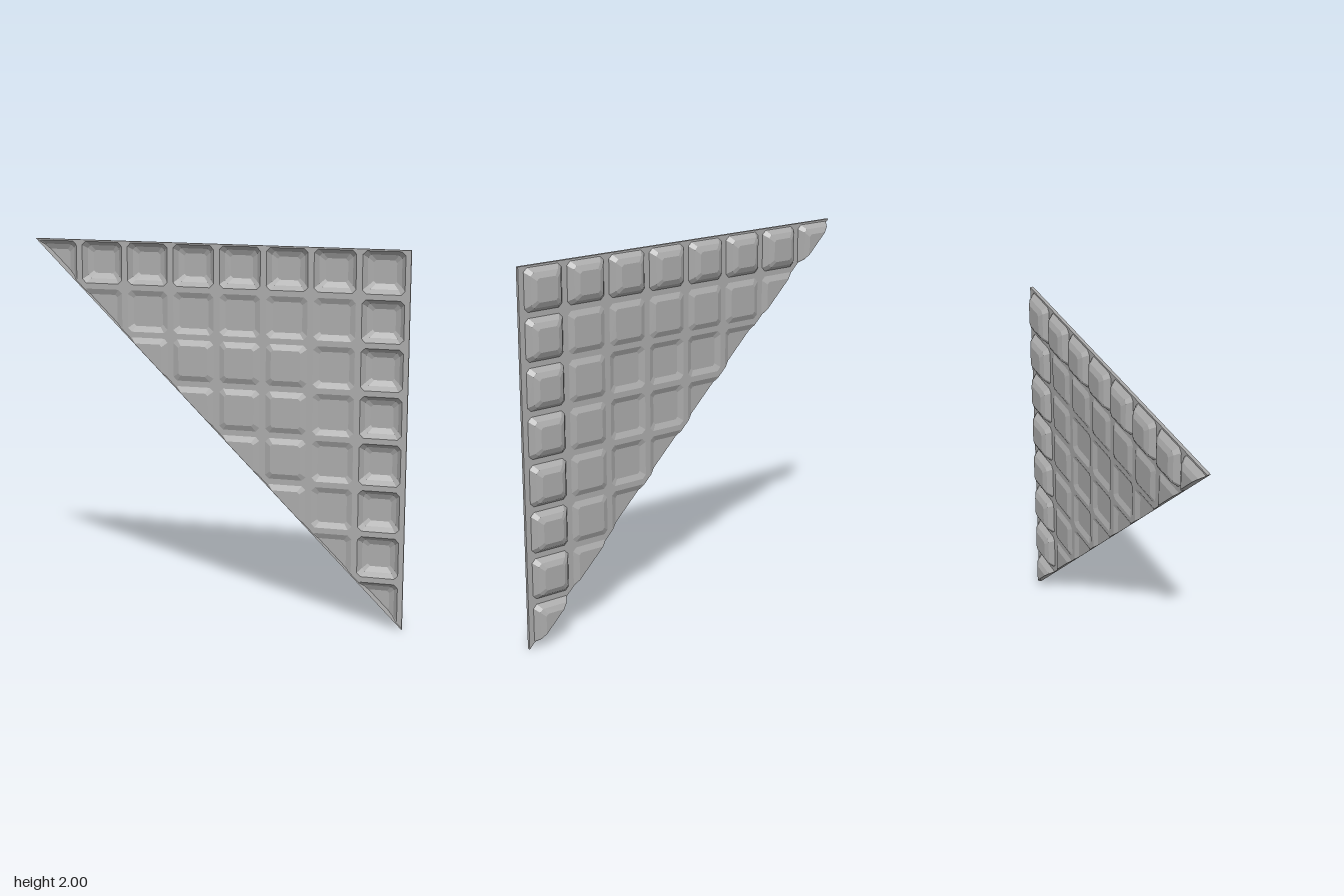
import * as THREE from 'three';

const PITCH = 0.25, COUNT = 8, SHEET = 0.013, RIM = 0.03;

// Octagon: a square cell with clipped corners, counter-clockwise
function octagon(x0, y0, x1, y1, cut, z) {
  return [
    [x0 + cut, y0, z], [x1 - cut, y0, z], [x1, y0 + cut, z], [x1, y1 - cut, z],
    [x1 - cut, y1, z], [x0 + cut, y1, z], [x0, y1 - cut, z], [x0, y0 + cut, z],
  ];
}

// Collects faces, trimming everything beyond the diagonal edge x + y = 1
class TrimmedSheet {
  constructor() { this.faces = []; this.rim = []; }

  add(face) {
    const side = (p) => p[0] + p[1] - 1;
    const kept = [], cuts = [];
    face.forEach((a, k) => {
      const b = face[(k + 1) % face.length], da = side(a), db = side(b);
      if (da >= 0) kept.push(a);
      if ((da > 1e-7 && db < -1e-7) || (da < -1e-7 && db > 1e-7)) {
        const p = a.map((v, n) => v + (b[n] - v) * da / (da - db));
        kept.push(p);
        cuts.push(p);
      } else if (Math.abs(da) <= 1e-7) cuts.push(a);
    });
    if (kept.length < 3) return;
    this.faces.push(kept);
    // Rim wall rising from the trimmed edge
    if (cuts.length === 2) {
      const [a, b] = cuts;
      this.rim.push([a, b, [b[0], b[1], RIM], [a[0], a[1], RIM]]);
    }
  }

  // Band of faces between two loops of equal length
  band(outer, inner) {
    outer.forEach((p, k) => {
      const n = (k + 1) % outer.length;
      this.add([p, outer[n], inner[n]]);
      this.add([p, inner[n], inner[k]]);
    });
  }
}

function toMesh(faces, material, name) {
  const positions = [];
  for (const f of faces)
    for (let k = 1; k < f.length - 1; k++) positions.push(...f[0], ...f[k], ...f[k + 1]);
  const geometry = new THREE.BufferGeometry();
  geometry.setAttribute('position', new THREE.Float32BufferAttribute(positions, 3));
  geometry.computeVertexNormals();
  const mesh = new THREE.Mesh(geometry, material);
  mesh.name = name;
  return mesh;
}

export function createModel() {
  const group = new THREE.Group();
  group.name = 'triangularPanel';
  const metal = new THREE.MeshStandardMaterial({ color: 0xaaaaaa, side: THREE.DoubleSide });
  metal.name = 'grey metal';

  const sheet = new TrimmedSheet();
  for (let col = 0; col < COUNT; col++) {
    for (let row = 0; row + col < COUNT; row++) {
      const x0 = 1 - PITCH * (col + 1), x1 = x0 + PITCH;
      const y1 = 2 - PITCH * row, y0 = y1 - PITCH;
      const px0 = x0 + 0.002, px1 = x0 + 0.22, py0 = y0 + 0.02, py1 = y1 - 0.01;
      const loop = (inset, cut, z) =>
        octagon(px0 + inset, py0 + inset, px1 - inset, py1 - inset, cut, z);

      // Flat ribs around the cell
      const mouth = loop(0, 0.02, SHEET);
      const tile = mouth.map(([x, y, z], k) => [
        k === 0 || k === 5 || k > 5 ? x0 : x1, k < 2 || k === 2 || k === 7 ? y0 : y1, z]);
      sheet.band(tile, mouth);

      // Outer ring is deep, second ring shallow, the rest pressed forward
      const ring = Math.min(col, row);
      const loops = ring === 0
        ? [loop(0.022, 0.016, -0.016), loop(0.05, 0.012, -0.03)]
        : [loop(0.03, 0.012, ring === 1 ? SHEET - 0.014 : SHEET + 0.014)];
      let previous = mouth;
      for (const next of loops) {
        sheet.band(previous, next);
        previous = next;
      }
      sheet.add(previous);
    }
  }
  group.add(toMesh(sheet.faces, metal, 'pressedSheet'));

  // Rim along the top, right and diagonal edges
  const straightRims = [
    [[1, 2, SHEET], [-1, 2, SHEET], [-1, 2, RIM], [1, 2, RIM]],
    [[1, 0, SHEET], [1, 2, SHEET], [1, 2, RIM], [1, 0, RIM]],
  ];
  group.add(toMesh([...straightRims, ...sheet.rim], metal, 'edgeRim'));
  return group;
}
